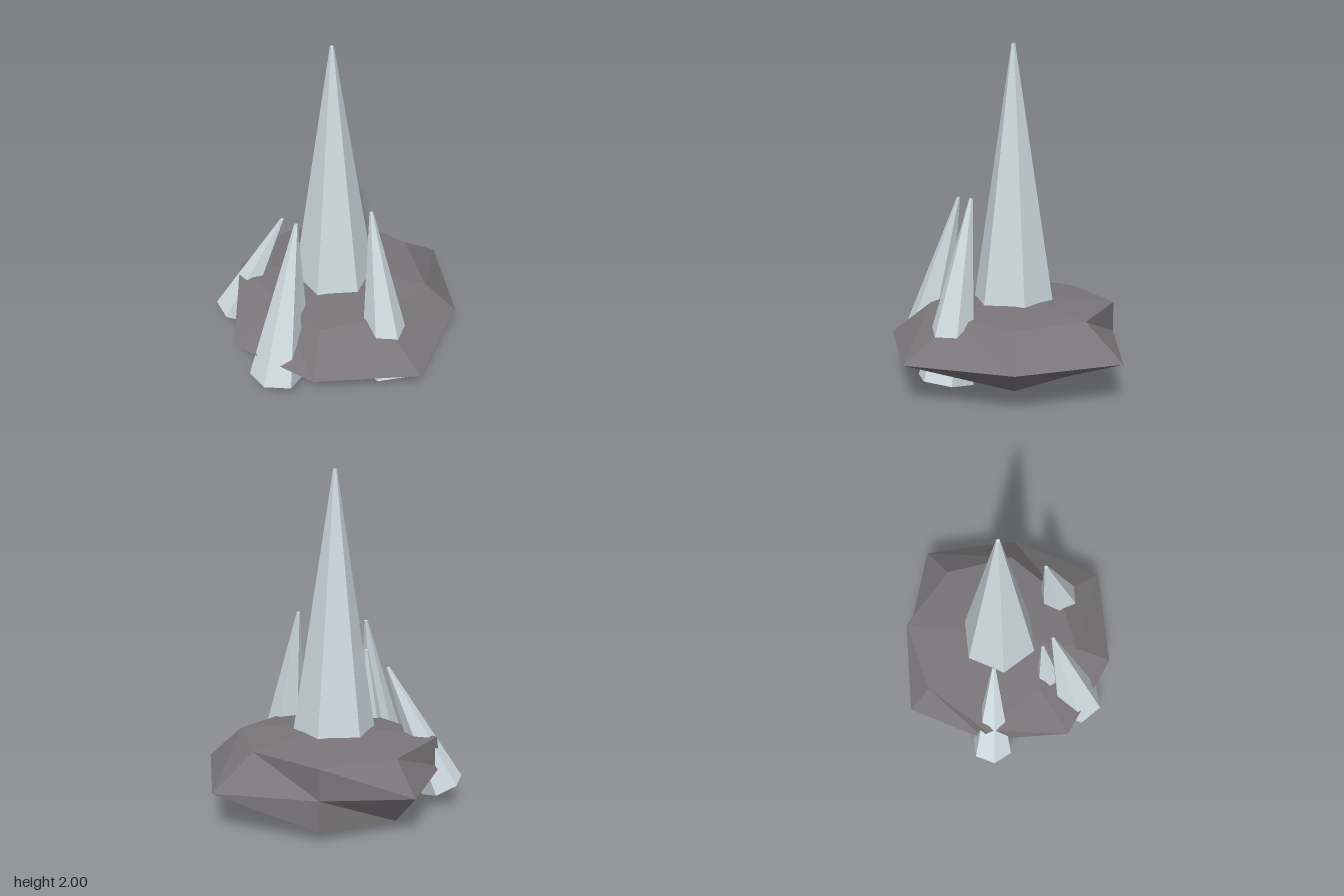
import * as THREE from 'three';

export function createModel() {
  const model = new THREE.Group();
  const stone = new THREE.MeshStandardMaterial({ name: 'stone grey', color: 0x797578, flatShading: true });
  const ice = new THREE.MeshStandardMaterial({ name: 'pale crystal', color: 0xcfdbe1, flatShading: true });

  // Rock: three irregular eight-sided rings between two poles.
  // Each ring runs back, back +x, +x, front +x, front, front -x, -x, back -x.
  const rings = [
    { y: 0.06, r: [0.43, 0.52, 0.38, 0.42, 0.59, 0.42, 0.57, 0.62] },
    { y: 0.245, r: [0.85, 0.78, 0.86, 0.75, 0.75, 0.645, 0.73, 0.62] },
    { y: 0.43, r: [0.58, 0.58, 0.5, 0.51, 0.42, 0.62, 0.57, 0.62] },
  ];
  const cx = -0.07, cz = 0.05, sides = 8;
  const points = [cx, 0, cz];
  for (const { y, r } of rings) {
    r.forEach((radius, i) => {
      const a = (i / sides) * Math.PI * 2;
      points.push(cx + radius * Math.sin(a), y, cz - radius * Math.cos(a));
    });
  }
  points.push(cx, 0.49, cz);
  const faces = [];
  const top = 1 + rings.length * sides;
  const at = (ring, i) => 1 + ring * sides + (i % sides);
  for (let i = 0; i < sides; i++) {
    faces.push(0, at(0, i), at(0, i + 1));
    for (let k = 0; k < rings.length - 1; k++) {
      const a = at(k, i), b = at(k, i + 1), c = at(k + 1, i + 1), d = at(k + 1, i);
      faces.push(a, d, c, a, c, b);
    }
    faces.push(top, at(2, i + 1), at(2, i));
  }
  const rockGeometry = new THREE.BufferGeometry();
  rockGeometry.setAttribute('position', new THREE.Float32BufferAttribute(points, 3));
  rockGeometry.setIndex(faces);
  const flatRock = rockGeometry.toNonIndexed();
  flatRock.computeVertexNormals();
  const rock = new THREE.Mesh(flatRock, stone);
  rock.name = 'rockBase';
  model.add(rock);

  // Crystals: tapered six-sided spikes from a base centre to a tip.
  const up = new THREE.Vector3(0, 1, 0);
  function addCrystal(name, base, tip, radius) {
    const from = new THREE.Vector3(...base);
    const to = new THREE.Vector3(...tip);
    const axis = to.clone().sub(from);
    const geometry = new THREE.CylinderGeometry(0.011, radius, axis.length(), 6);
    geometry.rotateY(Math.PI / 6);
    const crystal = new THREE.Mesh(geometry, ice);
    crystal.name = name;
    crystal.position.copy(from).add(to).multiplyScalar(0.5);
    crystal.quaternion.setFromUnitVectors(up, axis.normalize());
    model.add(crystal);
  }
  addCrystal('mainCrystal', [cx, 0.25, cz], [cx, 2, cz], 0.28);
  addCrystal('leftCrystal', [0.49, 0.085, 0.045], [0.285, 1.12, 0.04], 0.168);
  addCrystal('frontCrystal', [0.153, 0.087, 0.645], [0.06, 1.06, 0.4], 0.162);
  addCrystal('smallFrontCrystal', [0.06, 0.07, 0.475], [0.018, 0.885, 0.37], 0.12);
  addCrystal('rightCrystal', [-0.503, 0.11, 0.547], [-0.285, 0.845, 0.285], 0.135);

  return model;
}
